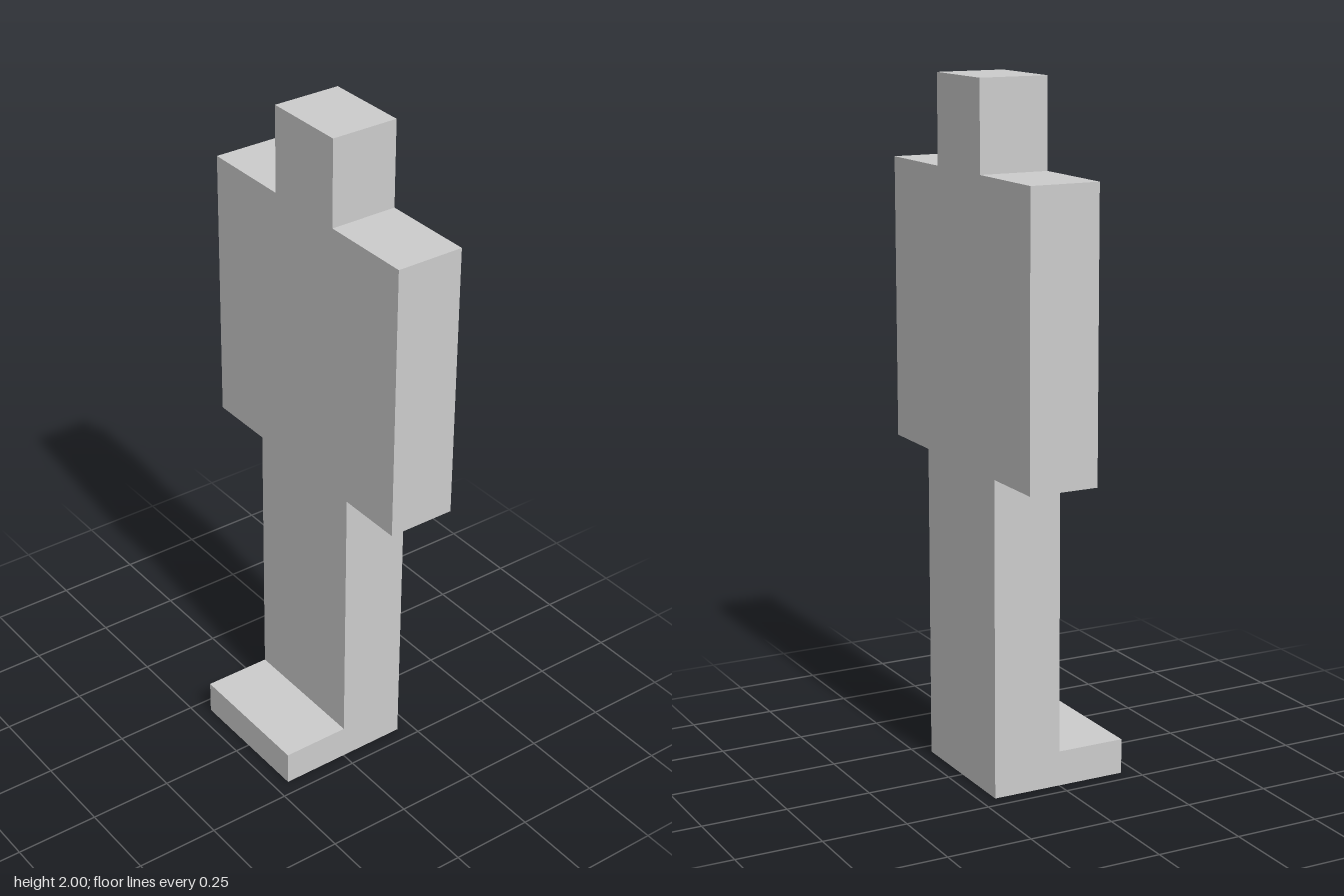
import * as THREE from 'three';

// Whole-number block units, 78 units tall in total
const U = 2 / 78;
const DEPTH = 8;

export function createModel() {
  const group = new THREE.Group();
  group.name = 'blockFigure';
  const material = new THREE.MeshStandardMaterial({ color: 0xcccccc, flatShading: true });

  // Box centred on x, spanning bottom..top in y and back..front in z
  const addBlock = (name, width, bottom, top, back, front) => {
    const geometry = new THREE.BoxGeometry(width * U, (top - bottom) * U, (front - back) * U);
    const mesh = new THREE.Mesh(geometry, material);
    mesh.name = name;
    mesh.position.set(0, ((bottom + top) / 2) * U, ((back + front) / 2) * U);
    group.add(mesh);
  };

  // Feet: a slab reaching forward under the legs
  addBlock('feet', 16, 0, 4, -DEPTH, DEPTH);
  // Upright slab: legs, torso with arms, head
  addBlock('legs', 16, 4, 36, -DEPTH, 0);
  addBlock('torso', 32, 36, 68, -DEPTH, 0);
  addBlock('head', 10, 68, 78, -DEPTH, 0);

  return group;
}
